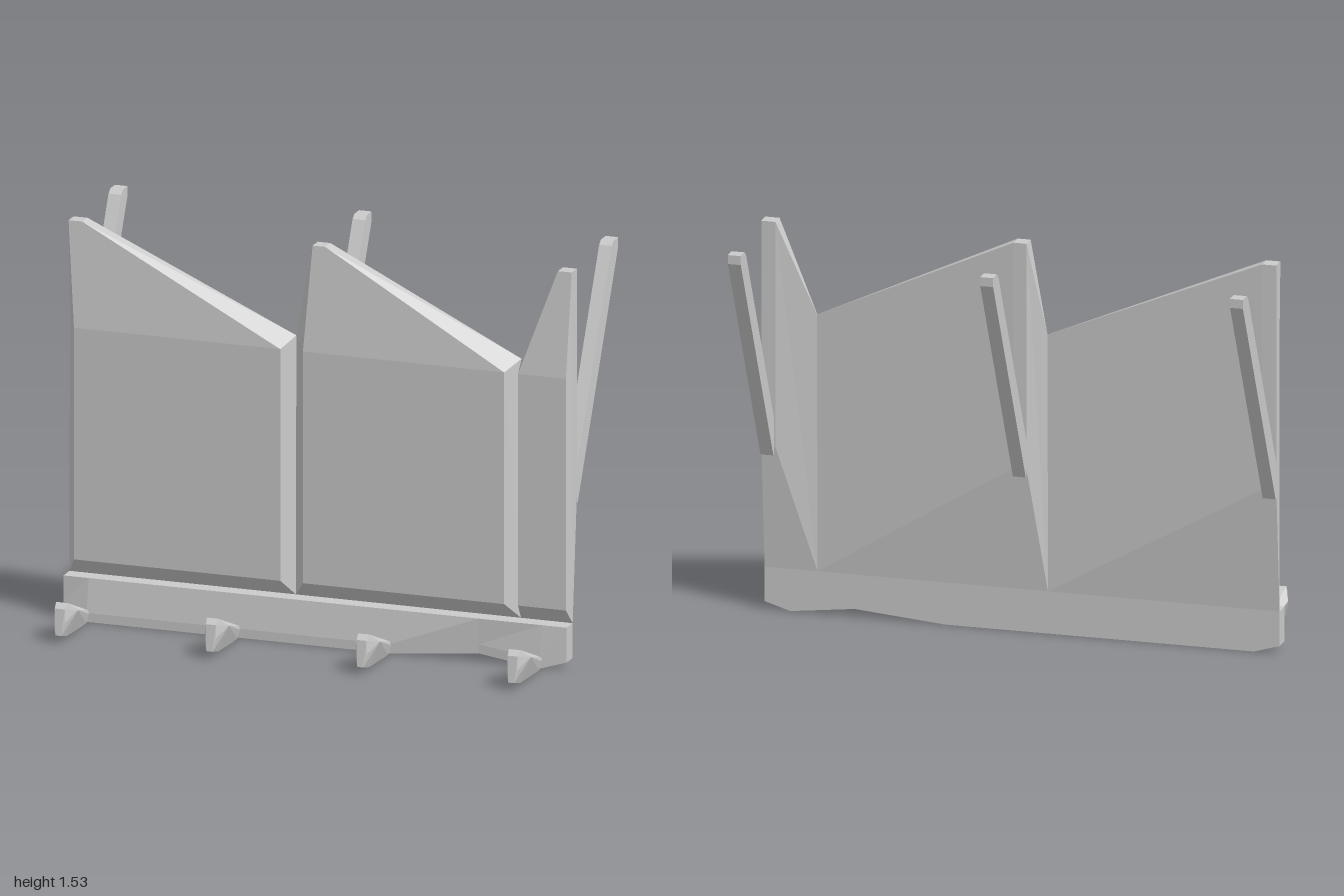
import * as THREE from 'three';
import { ConvexGeometry } from 'three/addons/geometries/ConvexGeometry.js';

const material = new THREE.MeshStandardMaterial({ color: 0xcccccc, flatShading: true });

function add(parent, name, geometry, x = 0) {
  const mesh = new THREE.Mesh(geometry, material);
  mesh.name = name;
  mesh.position.x = x;
  parent.add(mesh);
}

// Unshared flat faces from polygons given as lists of corners.
function facesGeometry(faces) {
  const pos = [];
  for (const f of faces)
    for (let i = 1; i < f.length - 1; i++) pos.push(...f[0], ...f[i], ...f[i + 1]);
  const g = new THREE.BufferGeometry();
  g.setAttribute('position', new THREE.Float32BufferAttribute(pos, 3));
  g.computeVertexNormals();
  return g;
}

// Bevelled panel: outer edges xl/xr, front face il/ir, raised peak tl/tr.
function panelGeometry({ xl, xr, il, ir, tl, tr }) {
  const A = [il, 0.23, 0.11], B = [ir, 0.23, 0.11];
  const C = [ir, 1.13, 0.11], D = [il, 1.13, 0.11];
  const E = [tl, 1.53, 0.06], F = [tr, 1.53, 0.06];
  const G = [tl, 1.53, 0.005], H = [tr, 1.53, 0.005];
  const K = [tl, 0.65, 0.005], M = [tr, 0.65, 0.005];
  const L0 = [xl, 0.165, 0.05], L1 = [xl, 1.17, 0.045];
  const R0 = [xr, 0.165, 0.05], R1 = [xr, 1.17, 0.045];
  return facesGeometry([
    [A, B, C, D], [D, C, F, E],                       // front
    [L0, R0, B, A], [L0, A, D, L1], [R0, R1, C, B],   // bevels
    [L1, D, E], [R1, F, C],
    [E, F, H, G], [L1, E, G], [R1, H, F],             // top edge
    [L0, L1, G, K], [R0, M, H, R1],                   // sides or back slopes
    [K, G, H, M], [L0, K, M, R0],                     // back
  ]);
}

// Base beam lofted along x: [x, bottom y, front z] per station.
function beamGeometry() {
  const rings = [
    [-1, 0.03, 0.115], [-0.9, 0, 0.135], [0.3, 0, 0.135],
    [0.65, 0.03, 0.115], [0.9, 0, 0.13], [1, 0.03, 0.115],
  ].map(([x, y, z]) => [
    [x, y, 0.05], [x, y, z], [x, y + 0.035, z], [x, 0.165, 0.115], [x, 0.165, 0.05],
  ]);
  const faces = [[...rings[0]], [...rings[rings.length - 1]].reverse()];
  for (let i = 0; i < rings.length - 1; i++)
    for (let j = 0; j < 5; j++) {
      const k = (j + 1) % 5;
      faces.push([rings[i][j], rings[i + 1][j], rings[i + 1][k], rings[i][k]]);
    }
  return facesGeometry(faces);
}

// Faceted tooth: mirrored corners [half width, y, z].
function toothGeometry() {
  const half = [
    [0.004, 0.045, 0.13], [0.008, 0.03, 0.13], [0.004, 0, 0.15],
    [0.022, 0.15, 0.405], [0.045, 0.11, 0.35], [0.01, 0.012, 0.37],
    [0.02, 0.13, 0.425], [0.022, 0.08, 0.43], [0.012, 0.03, 0.44], [0.004, 0, 0.2],
  ];
  return new ConvexGeometry(half.flatMap(([x, y, z]) =>
    [new THREE.Vector3(x, y, z), new THREE.Vector3(-x, y, z)]));
}

// Slanted strut: side profile in (-z, y), extruded across x.
function strutGeometry() {
  const profile = [[-0.005, 0.62], [0.005, 0.62], [0.44, 1.495], [0.44, 1.53],
    [0.39, 1.53], [0.37, 1.515], [-0.005, 0.76]];
  const shape = new THREE.Shape(profile.map(([u, v]) => new THREE.Vector2(u, v)));
  const g = new THREE.ExtrudeGeometry(shape, { depth: 0.05, bevelEnabled: false });
  return g.translate(0, 0, -0.025).rotateY(Math.PI / 2);
}

export function createModel() {
  const model = new THREE.Group();
  model.name = 'toothedBarrier';

  add(model, 'baseBeam', beamGeometry());

  const panels = [
    { xl: -1, xr: -0.1, il: -0.96, ir: -0.14, tl: -1, tr: -0.945 },
    { xl: -0.1, xr: 0.795, il: -0.05, ir: 0.75, tl: -0.03, tr: 0.02 },
    { xl: 0.795, xr: 1, il: 0.805, ir: 0.995, tl: 0.945, tr: 1 },
  ];
  panels.forEach((p, i) => add(model, `panel${i + 1}`, panelGeometry(p)));

  const strut = strutGeometry();
  [-0.975, -0.005, 0.975].forEach((x, i) => add(model, `backStrut${i + 1}`, strut, x));

  const tooth = toothGeometry();
  [-0.9, -0.3, 0.3, 0.9].forEach((x, i) => add(model, `tooth${i + 1}`, tooth, x));

  return model;
}
